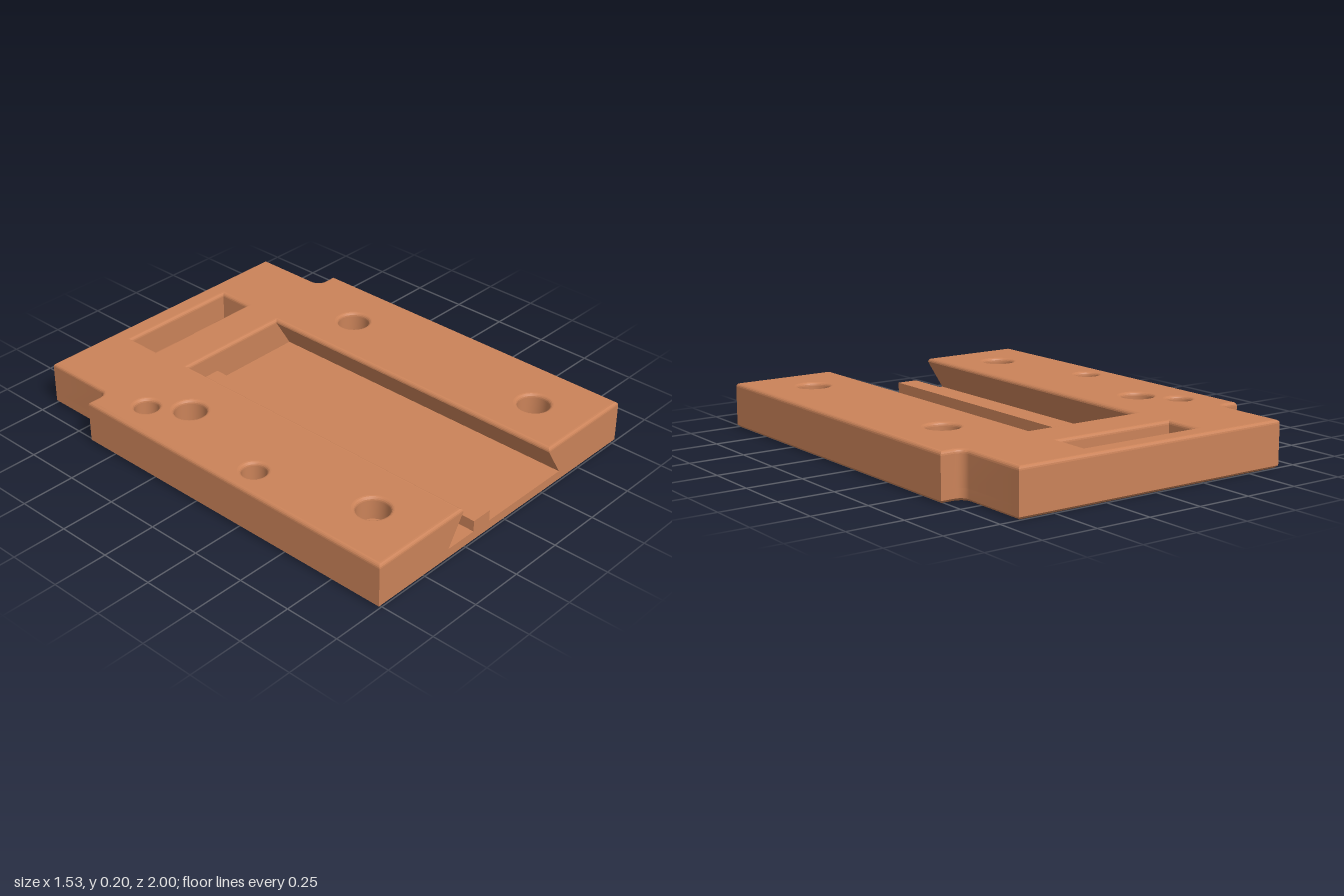
import * as THREE from 'three';
import { toCreasedNormals } from 'three/addons/utils/BufferGeometryUtils.js';

const TOP = 0.203, FLOOR = 0.052, FILLET = 0.016, CHAMFER = 0.011;
const V = (x, w) => new THREE.Vector2(x, w); // plan coordinates, w = -z

// Contours keep the material on their left: outer ones run anticlockwise, holes clockwise.
function inset(points, d) {
  const n = points.length;
  const normal = (a, b) => V(a.y - b.y, b.x - a.x).normalize();
  return points.map((p, i) => {
    const n1 = normal(points[(i + n - 1) % n], p);
    const n2 = normal(p, points[(i + 1) % n]);
    return p.clone().addScaledVector(n1.clone().add(n2), d / (1 + n1.dot(n2)));
  });
}

// Wall strip between two matching contours, lower one first
function strip([a, ya], [b, yb]) {
  const n = a.length, pos = [], idx = [];
  a.forEach((p) => pos.push(p.x, ya, -p.y));
  b.forEach((p) => pos.push(p.x, yb, -p.y));
  for (let i = 0; i < n; i++) {
    const j = (i + 1) % n;
    idx.push(i, j, n + j, i, n + j, n + i);
  }
  const g = new THREE.BufferGeometry();
  g.setAttribute('position', new THREE.Float32BufferAttribute(pos, 3));
  g.setIndex(idx);
  return toCreasedNormals(g, 0.6);
}

// Flat face at height y, looking up or down
function cap(points, holes, y, up = true) {
  const map = (pts) => pts.map((p) => V(p.x, up ? p.y : -p.y));
  const shape = new THREE.Shape(map(points));
  shape.holes = holes.map((h) => new THREE.Path(map(h)));
  return new THREE.ShapeGeometry(shape).rotateX(up ? -Math.PI / 2 : Math.PI / 2).translate(0, y, 0);
}

// Rounded top edge and bevelled bottom edge as lists of levels
const filletLevels = (pts) => [0, 1, 2, 3, 4].map((k) => {
  const t = (k / 4) * Math.PI / 2;
  return [inset(pts, FILLET * (1 - Math.cos(t))), TOP - FILLET * (1 - Math.sin(t))];
});
const chamferLevels = (pts) => [[inset(pts, CHAMFER), 0], [pts, CHAMFER]];

function circle(x, z, r) {
  const pts = [];
  for (let i = 0; i < 32; i++) {
    const t = -i / 32 * Math.PI * 2;
    pts.push(V(x + r * Math.cos(t), -z + r * Math.sin(t)));
  }
  return pts;
}

export function createModel() {
  const group = new THREE.Group();
  const material = new THREE.MeshStandardMaterial({ color: 0xcb8359 });
  material.name = 'copper orange';
  const add = (name, geometry) => {
    const mesh = new THREE.Mesh(geometry, material);
    mesh.name = name;
    group.add(mesh);
  };
  const loft = (name, levels) => {
    for (let i = 0; i + 1 < levels.length; i++) add(name, strip(levels[i], levels[i + 1]));
  };

  // Plate outline with stepped, rounded shoulders at the back
  const shoulder = [V(0.767, -1), V(0.767, 0.645)];
  for (let i = 0; i <= 8; i++) {
    const t = -Math.PI / 2 * (1 + i / 8);
    shoulder.push(V(0.705 + 0.04 * Math.cos(t), 0.685 + 0.04 * Math.sin(t)));
  }
  shoulder.push(V(0.665, 1));
  const outline = [...shoulder, ...shoulder.map((p) => V(-p.x, p.y)).reverse()];

  // Dovetail channel open at the front, wider at its floor than at its lip
  const channel = (half) => [V(-half, -1), V(-half, 0.548), V(half, 0.548), V(half, -1)];
  const lip = [...outline, ...channel(0.277)];
  const foot = [...outline, ...channel(0.36)];
  loft('baseWall', [...chamferLevels(outline), [outline, FLOOR]]);
  loft('upperWall', [[foot, FLOOR], ...filletLevels(lip)]);
  add('channelFloor', cap(channel(0.36), [], FLOOR));
  const rail = new THREE.BoxGeometry(0.1, 0.05, 1.548);
  add('guideRail', rail.translate(-0.155, FLOOR + 0.025, 0.226));

  const topHoles = [], bottomHoles = [];

  // Rectangular strap window through the back
  const strap = [V(-0.286, 0.749), V(-0.286, 0.907), V(0.286, 0.907), V(0.286, 0.749)];
  loft('strapWindow', [...chamferLevels(strap), ...filletLevels(strap)]);
  topHoles.push(inset(strap, FILLET));
  bottomHoles.push(inset(strap, CHAMFER));

  // Counterbored screw holes
  for (const x of [-0.513, 0.513]) {
    for (const z of [-0.285, 0.742]) {
      const bore = circle(x, z, 0.045), head = circle(x, z, 0.07);
      loft('screwHole', [...chamferLevels(bore), [bore, 0.1], [head, 0.1], ...filletLevels(head)]);
      topHoles.push(inset(head, FILLET));
      bottomHoles.push(inset(bore, CHAMFER));
    }
  }

  // Blind round pockets
  for (const [x, z] of [[-0.618, -0.442], [-0.645, 0.226]]) {
    const pocket = circle(x, z, 0.053);
    loft('pocketWall', [[pocket, 0.1], ...filletLevels(pocket)]);
    add('pocketFloor', cap(pocket, [], 0.1));
    topHoles.push(inset(pocket, FILLET));
  }

  add('topFace', cap(inset(lip, FILLET), topHoles, TOP));
  add('bottomFace', cap(inset(outline, CHAMFER), bottomHoles, 0, false));
  return group;
}
